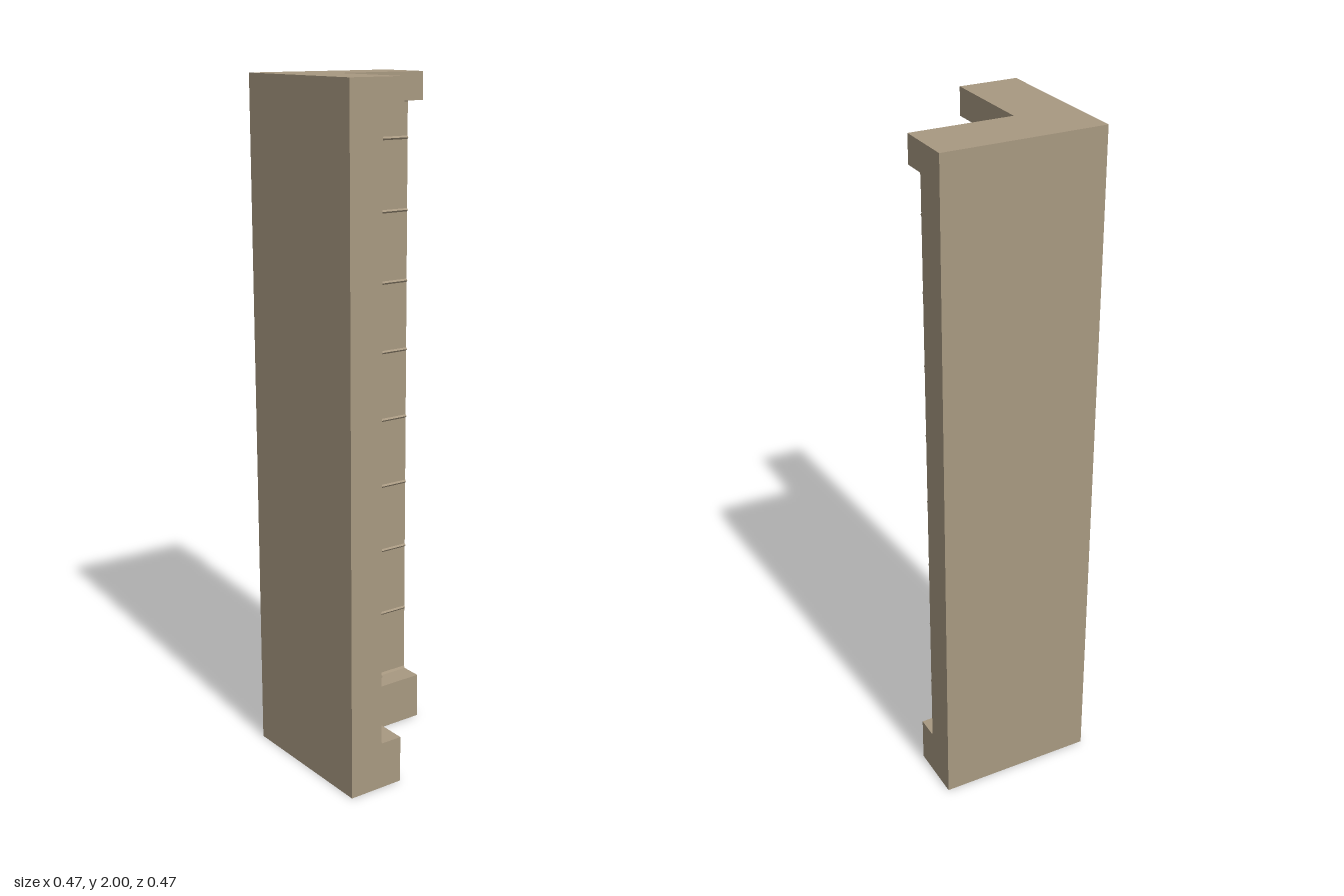
import * as THREE from 'three';

const H = 0.235;       // half width of the corner piece
const RIM = -0.062;    // inner face of base and cap
const WALL = -0.131;   // inner face of the recessed walls
const BASE_TOP = 0.14, CAP_BOTTOM = 1.92, BOARD = 0.209;

// L-shaped outline (x, z) whose two inner faces lie at t
const outline = (t) => [[-H, -H], [H, -H], [H, t], [t, t], [t, H], [-H, H]];

// Stack L-shaped sections given as [y, t]; optionally close both ends
function stackL(levels, closed) {
  const pos = [];
  const put = (p, y) => pos.push(p[0], y, p[1]);
  for (let k = 0; k < levels.length - 1; k++) {
    const [y0, t0] = levels[k], [y1, t1] = levels[k + 1];
    const lo = outline(t0), hi = outline(t1);
    for (let i = 0; i < 6; i++) {
      const j = (i + 1) % 6;
      put(lo[i], y0); put(hi[i], y1); put(hi[j], y1);
      put(lo[i], y0); put(hi[j], y1); put(lo[j], y0);
    }
  }
  if (closed) {
    const fan = [[3, 0, 1], [3, 1, 2], [3, 4, 5], [3, 5, 0]];
    const [yb, tb] = levels[0], [yt, tt] = levels[levels.length - 1];
    for (const [a, b, c] of fan) {
      const lo = outline(tb), hi = outline(tt);
      put(lo[a], yb); put(lo[b], yb); put(lo[c], yb);
      put(hi[a], yt); put(hi[c], yt); put(hi[b], yt);
    }
  }
  const geo = new THREE.BufferGeometry();
  geo.setAttribute('position', new THREE.Float32BufferAttribute(pos, 3));
  geo.computeVertexNormals();
  return geo;
}

export function createModel() {
  const group = new THREE.Group();
  const stone = new THREE.MeshStandardMaterial({ color: 0xa89981 });
  stone.name = 'tan stone';
  const add = (name, geo) => {
    const mesh = new THREE.Mesh(geo, stone);
    mesh.name = name;
    group.add(mesh);
  };

  // Solid plinth and cap
  add('base', stackL([[0, RIM], [BASE_TOP, RIM]], true));
  add('topCap', stackL([[CAP_BOTTOM, RIM], [2, RIM]], true));

  // Recessed walls with a fine raised seam between the boards
  const seam = 0.004, half = 0.005;
  const levels = [[BASE_TOP, WALL + seam], [BASE_TOP + 0.007, WALL]];
  for (let y = BASE_TOP + BOARD; y < CAP_BOTTOM - 0.02; y += BOARD) {
    levels.push([y - half, WALL], [y, WALL + seam], [y + half, WALL]);
  }
  levels.push([CAP_BOTTOM - 0.007, WALL], [CAP_BOTTOM, WALL + seam]);
  add('boardedWalls', stackL(levels, false));

  return group;
}
